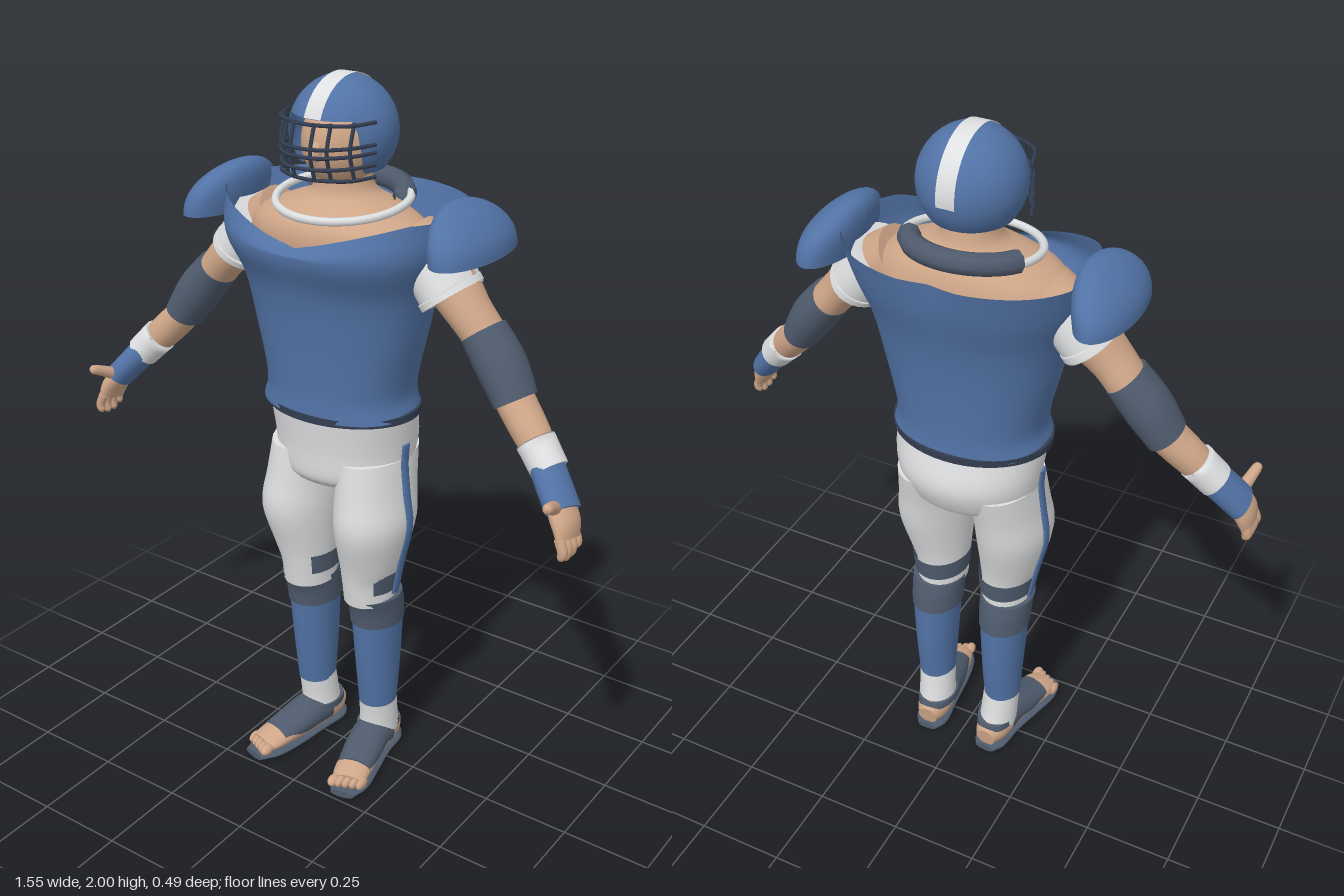
import * as THREE from 'three';

const mat = (name, color) => new THREE.MeshStandardMaterial({ name, color, side: THREE.DoubleSide });
const blue = mat('jersey blue', 0x5273a6);
const white = mat('cloth white', 0xdedfe0);
const slate = mat('slate padding', 0x4f5b6d);
const skin = mat('skin', 0xcfa688);
const dark = mat('dark trim', 0x333d50);

const mesh = (name, geometry, material) => {
  const m = new THREE.Mesh(geometry, material);
  m.name = name;
  return m;
};

// Skin a surface over rings [x, y, z, rx, rz]. flat keeps rings horizontal (listed upwards).
function loft(rings, { n = 28, flat = false, ref = [0, 0, 1], power = 2, smooth = 4, arc = null, cap = true, shape = null } = {}) {
  const path = new THREE.CatmullRomCurve3(rings.map(r => new THREE.Vector3(r[0], r[1], r[2])), false, 'catmullrom', 0.5);
  const size = new THREE.CatmullRomCurve3(rings.map(r => new THREE.Vector3(r[3], r[4] ?? r[3], 0)), false, 'catmullrom', 0.5);
  const rows = (rings.length - 1) * smooth, cols = arc ? n + 1 : n;
  const [start, span] = arc ?? [0, Math.PI * 2];
  const pos = [], index = [];
  const bend = v => Math.sign(v) * Math.abs(v) ** (2 / power);
  for (let i = 0; i <= rows; i++) {
    const c = path.getPoint(i / rows), s = size.getPoint(i / rows);
    const t = flat ? new THREE.Vector3(0, 1, 0) : path.getTangent(i / rows);
    const a = new THREE.Vector3(...ref).addScaledVector(t, -t.dot(new THREE.Vector3(...ref))).normalize();
    const b = t.clone().cross(a);
    for (let j = 0; j < cols; j++) {
      const q = start + span * j / n;
      const p = c.clone().addScaledVector(a, s.y * bend(Math.cos(q))).addScaledVector(b, s.x * bend(Math.sin(q)));
      if (shape) shape(p, i / rows);
      pos.push(p.x, p.y, p.z);
    }
  }
  for (let i = 0; i < rows; i++) for (let j = 0; j < n; j++) {
    const k = (j + 1) % cols, A = i * cols + j, B = i * cols + k, C = A + cols, D = B + cols;
    index.push(A, B, D, A, D, C);
  }
  if (cap && !arc) for (const [row, ring] of [[0, rings[0]], [rows, rings.at(-1)]]) {
    const base = pos.length / 3;
    pos.push(...pos.slice(row * cols * 3, (row + 1) * cols * 3), ring[0], ring[1], ring[2]);
    for (let j = 0; j < n; j++) {
      const A = base + j, B = base + (j + 1) % n;
      index.push(...(row ? [A, B, base + n] : [B, A, base + n]));
    }
  }
  const g = new THREE.BufferGeometry();
  g.setAttribute('position', new THREE.Float32BufferAttribute(pos, 3));
  g.setIndex(index);
  g.computeVertexNormals();
  return g;
}

// Bend a plane grid with a rule from (u, v) to a point
function sheet(nu, nv, rule) {
  const g = new THREE.PlaneGeometry(1, 1, nu, nv), p = g.attributes.position, uv = g.attributes.uv;
  for (let i = 0; i < p.count; i++) p.setXYZ(i, ...rule(uv.getX(i), uv.getY(i)));
  g.computeVertexNormals();
  return g;
}

const tube = (points, r, closed = false) => new THREE.TubeGeometry(
  new THREE.CatmullRomCurve3(points.map(p => new THREE.Vector3(...p)), closed), 40, r, 8, closed);
const ball = (x, y, z, rx, ry, rz) => new THREE.SphereGeometry(1, 24, 16).scale(rx, ry, rz).translate(x, y, z);

function mirrored(group, name) {
  const out = new THREE.Group();
  out.name = name;
  for (const m of group.children) {
    const g = m.geometry.clone().scale(-1, 1, 1), ix = g.index.array;
    for (let i = 0; i < ix.length; i += 3) [ix[i], ix[i + 1]] = [ix[i + 1], ix[i]];
    out.add(mesh(m.name, g, m.material));
  }
  return out;
}

function makeHead() {
  const head = new THREE.Group();
  head.name = 'head';
  head.add(mesh('face', ball(0, 1.835, 0.005, 0.1, 0.118, 0.112), skin));
  head.add(mesh('nose', ball(0, 1.825, 0.115, 0.016, 0.025, 0.018), skin));
  // Helmet shell, cut high over the face and low at the ears and back
  head.add(mesh('helmet', sheet(72, 24, (u, v) => {
    const a = (u - 0.5) * Math.PI * 2;
    const th = (1 - v) * (1.22 + 1.05 * THREE.MathUtils.smoothstep(Math.abs(a), 0.78, 1.1));
    const s = Math.sin(th);
    return [0.138 * s * Math.sin(a), 1.86 + 0.14 * Math.cos(th), -0.003 + 0.142 * s * Math.cos(a)];
  }), blue));
  head.add(mesh('helmetStripe', sheet(2, 32, (u, v) => {
    const a = 0.36 + v * 2.9;
    return [(u - 0.5) * 0.05, 1.86 + 0.1415 * Math.sin(a), -0.003 + 0.144 * Math.cos(a)];
  }), white));
  // Face cage
  for (const [y, z] of [[1.905, 0.165], [1.85, 0.185], [1.83, 0.187], [1.8, 0.183], [1.77, 0.165]])
    head.add(mesh('cageBar', tube([[-0.132, y, 0.05], [-0.105, y, 0.12], [-0.05, y, z - 0.01], [0, y, z],
      [0.05, y, z - 0.01], [0.105, y, 0.12], [0.132, y, 0.05]], 0.005), dark));
  for (const x of [-0.105, -0.065, -0.03, 0.03, 0.065, 0.105]) {
    const z = 0.187 - 6 * x * x;
    head.add(mesh('cageUpright', tube([[x, 1.91, z - 0.018], [x, 1.84, z], [x, 1.768, z - 0.018]], 0.005), dark));
  }
  return head;
}

function makeTorso() {
  const torso = new THREE.Group();
  torso.name = 'torso';
  torso.add(mesh('chestAndNeck', loft([[0, 1.4, 0, 0.2, 0.14], [0, 1.55, 0, 0.27, 0.16], [0, 1.63, 0.005, 0.25, 0.155],
    [0, 1.675, -0.005, 0.165, 0.125], [0, 1.71, -0.005, 0.085, 0.085], [0, 1.78, 0, 0.066, 0.072]], { flat: true }), skin));
  // Jersey with V neckline
  torso.add(mesh('jersey', loft([[0, 1.13, 0.005, 0.22, 0.17], [0, 1.2, 0.005, 0.207, 0.168], [0, 1.35, 0.005, 0.24, 0.178],
    [0, 1.48, 0.005, 0.27, 0.2], [0, 1.59, 0.01, 0.315, 0.24], [0, 1.69, -0.015, 0.335, 0.238]],
  { n: 64, flat: true, power: 2.25, cap: false, smooth: 6, shape: (p, t) => {
    if (t > 0.8) {
      const top = p.z > 0 ? Math.min(1.69, 1.605 + 0.3 * Math.abs(p.x)) : 1.69;
      p.y = 1.59 + (p.y - 1.59) * (top - 1.59) / 0.1;
    }
    if (t > 0.6) p.z *= 1 - 0.06 * Math.exp(-((p.x / 0.05) ** 2)) * (t - 0.6) / 0.4;
  } }), blue));
  torso.add(mesh('waistBand', loft([[0, 1.122, 0.003, 0.226, 0.176], [0, 1.142, 0.003, 0.226, 0.176]], { n: 48, flat: true }), dark));
  torso.add(mesh('trousersSeat', loft([[0, 0.92, 0, 0.165, 0.13], [0, 0.95, -0.005, 0.193, 0.155], [0, 1.03, -0.017, 0.206, 0.172],
    [0, 1.13, 0, 0.216, 0.166]], { n: 40, flat: true }), white));
  // Neck ring and the padded roll behind it
  const loop = (from, to, rx, rz, y) => Array.from({ length: 17 }, (_, i) => {
    const a = from + (to - from) * i / 16;
    return [rx * Math.sin(a), y - 0.022 * Math.cos(a), rz * Math.cos(a)];
  });
  torso.add(mesh('neckRing', tube(loop(-2.2, 2.2, 0.178, 0.165, 1.69), 0.011), white));
  torso.add(mesh('neckRoll', tube(loop(1.95, 4.33, 0.16, 0.15, 1.69), 0.03), slate));
  return torso;
}

function makeArm() {
  const arm = new THREE.Group();
  arm.name = 'leftArm';
  // Domed shoulder pad, higher on its inner side
  const pad = new THREE.SphereGeometry(1, 40, 16, 0, Math.PI * 2, 0, Math.PI / 2), p = pad.attributes.position;
  for (let i = 0; i < p.count; i++) {
    const [x, y, z] = [p.getX(i), p.getY(i), p.getZ(i)];
    p.setXYZ(i, 0.382 + 0.074 * x - 0.03 * y * (1 - x) * 0.7, 1.605 + 0.122 * y ** 0.85 * (1 - 0.3 * x), -0.01 + 0.175 * z);
  }
  pad.computeVertexNormals();
  arm.add(mesh('shoulderPad', pad, blue));
  arm.add(mesh('padUnderside', new THREE.CircleGeometry(1, 40).rotateX(Math.PI / 2).scale(0.074, 1, 0.175).translate(0.382, 1.606, -0.01), blue));
  arm.add(mesh('armSkin', loft([[0.2, 1.6, -0.01, 0.085], [0.3, 1.54, -0.01, 0.075], [0.38, 1.46, 0, 0.056, 0.066],
    [0.44, 1.39, 0, 0.052, 0.062], [0.53, 1.27, 0.02, 0.047, 0.058], [0.6, 1.195, 0.043, 0.046, 0.05], [0.66, 1.13, 0.065, 0.036, 0.04],
    [0.71, 1.075, 0.09, 0.032, 0.042]]), skin));
  arm.add(mesh('sleeve', loft([[0.25, 1.6, -0.005, 0.082, 0.095], [0.3, 1.535, -0.003, 0.08, 0.097], [0.335, 1.488, 0, 0.077, 0.097]]), white));
  arm.add(mesh('sleeveHem', loft([[0.322, 1.505, 0, 0.081, 0.1], [0.334, 1.489, 0, 0.081, 0.1]]), white));
  arm.add(mesh('elbowPad', loft([[0.425, 1.415, 0, 0.057, 0.07], [0.485, 1.34, 0.008, 0.062, 0.073], [0.537, 1.262, 0.02, 0.053, 0.067]]), slate));
  arm.add(mesh('wristBand', loft([[0.612, 1.185, 0.048, 0.05, 0.053], [0.665, 1.128, 0.067, 0.047, 0.052]]), white));
  arm.add(mesh('cuff', loft([[0.65, 1.142, 0.062, 0.041, 0.05], [0.69, 1.095, 0.085, 0.039, 0.055], [0.728, 1.05, 0.105, 0.037, 0.056]]), blue));
  arm.add(mesh('palm', loft([[0.715, 1.065, 0.1, 0.03, 0.048], [0.74, 1.025, 0.112, 0.028, 0.053], [0.752, 0.99, 0.12, 0.02, 0.05]]), skin));
  for (let i = 0; i < 4; i++) {
    const z = 0.083 + i * 0.025, drop = [0.012, 0, 0, 0.008][i];
    arm.add(mesh('finger', loft([[0.748, 1.0, z, 0.014], [0.76, 0.97, z + 0.002, 0.0135], [0.757, 0.945 + drop, z + 0.002, 0.011],
      [0.754, 0.937 + drop, z + 0.002, 0.004]], { n: 10 }), skin));
  }
  arm.add(mesh('thumb', loft([[0.715, 1.06, 0.12, 0.02], [0.727, 1.085, 0.17, 0.016], [0.735, 1.1, 0.205, 0.013], [0.737, 1.103, 0.214, 0.004]],
    { n: 12, ref: [0, 1, 0] }), skin));
  return arm;
}

function makeLeg() {
  const leg = new THREE.Group();
  leg.name = 'leftLeg';
  const flat = { flat: true };
  leg.add(mesh('trouserLeg', loft([[0.105, 0.55, 0.015, 0.071, 0.086], [0.105, 0.62, 0.02, 0.073, 0.092], [0.112, 0.68, 0.022, 0.085, 0.104],
    [0.122, 0.8, 0.022, 0.103, 0.138], [0.115, 0.9, 0.008, 0.098, 0.142], [0.105, 1.0, -0.01, 0.096, 0.148]], flat), white));
  leg.add(mesh('sideStripe', loft([[0.181, 0.58, 0.005, 0.006, 0.016], [0.2, 0.68, 0.007, 0.006, 0.016], [0.225, 0.8, 0.007, 0.006, 0.016],
    [0.214, 0.9, 0.007, 0.006, 0.016], [0.205, 0.98, 0.005, 0.006, 0.016], [0.208, 1.045, 0.005, 0.006, 0.016]], { flat: true, n: 12 }), blue));
  leg.add(mesh('kneeStrap', loft([[0.105, 0.592, 0.012, 0.077, 0.092], [0.107, 0.652, 0.014, 0.083, 0.1]],
    { flat: true, arc: [0.75, Math.PI * 2 - 1.5] }), slate));
  leg.add(mesh('shinBand', loft([[0.11, 0.47, -0.012, 0.073, 0.087], [0.11, 0.52, -0.006, 0.075, 0.088], [0.11, 0.565, 0.008, 0.077, 0.091]], flat), slate));
  leg.add(mesh('sock', loft([[0.11, 0.185, -0.02, 0.053, 0.06], [0.11, 0.33, -0.018, 0.06, 0.077], [0.11, 0.48, -0.013, 0.069, 0.085]], flat), blue));
  leg.add(mesh('ankleWrap', loft([[0.105, 0.075, -0.035, 0.055, 0.066], [0.107, 0.125, -0.03, 0.054, 0.06], [0.11, 0.2, -0.02, 0.053, 0.059]], flat), white));
  // Open shoe: bare foot, strapped upper and sole
  const along = { ref: [0, 1, 0] };
  leg.add(mesh('foot', loft([[0.1, 0.052, -0.115, 0.03, 0.032], [0.102, 0.058, -0.075, 0.048, 0.047], [0.11, 0.062, 0, 0.053, 0.052],
    [0.125, 0.052, 0.08, 0.053, 0.042], [0.145, 0.04, 0.165, 0.052, 0.028], [0.155, 0.035, 0.2, 0.044, 0.02]], along), skin));
  leg.add(mesh('shoeUpper', loft([[0.106, 0.066, -0.03, 0.055, 0.052], [0.112, 0.068, 0.02, 0.056, 0.052],
    [0.125, 0.058, 0.08, 0.056, 0.043], [0.142, 0.048, 0.15, 0.05, 0.029]], along), slate));
  leg.add(mesh('heelStrap', loft([[0.102, 0.078, -0.035, 0.057, 0.08], [0.102, 0.098, -0.035, 0.056, 0.075]], flat), slate));
  leg.add(mesh('sole', loft([[0.1, 0.012, -0.12, 0.03, 0.011], [0.102, 0.012, -0.08, 0.05, 0.012], [0.112, 0.012, 0, 0.05, 0.012],
    [0.13, 0.012, 0.1, 0.057, 0.012], [0.148, 0.012, 0.18, 0.057, 0.012], [0.16, 0.012, 0.235, 0.035, 0.011]], along), slate));
  for (let i = 0; i < 5; i++)
    leg.add(mesh('toe', ball(0.122 + i * 0.018, 0.036 - i * 0.001, 0.22 - i * 0.009, i ? 0.011 : 0.016, 0.016, 0.024), skin));
  return leg;
}

export function createModel() {
  const model = new THREE.Group();
  model.name = 'fieldPlayer';
  const arm = makeArm(), leg = makeLeg();
  model.add(makeHead(), makeTorso(), arm, mirrored(arm, 'rightArm'), leg, mirrored(leg, 'rightLeg'));
  return model;
}
